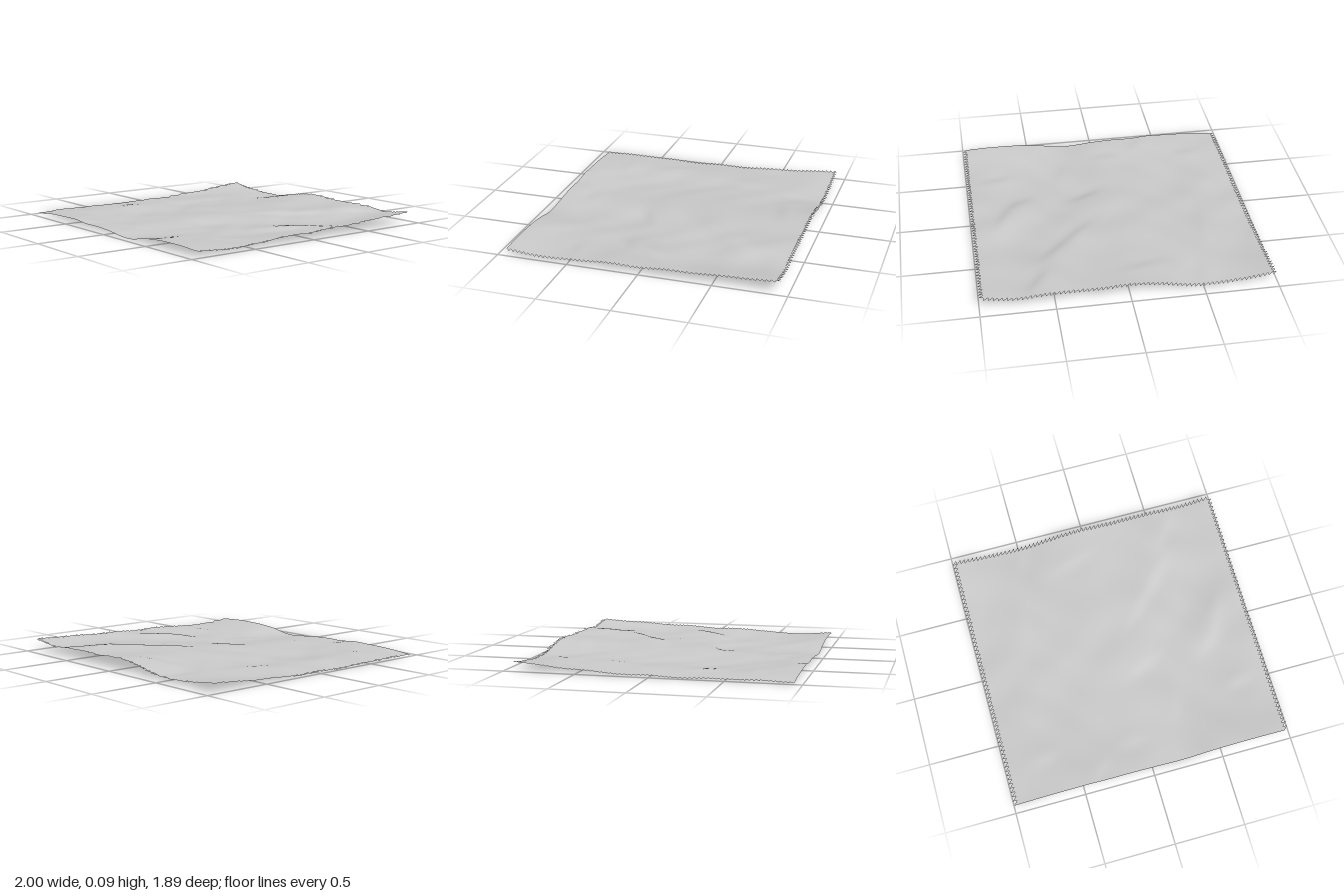
import * as THREE from 'three';

const COLS = 64, ROWS = 61, HALF_X = 1, HALF_Z = 0.945;

// broad relief: rows run back to front, columns left to right
const RELIEF = [
  [0.080, 0.046, 0.033, 0.070, 0.093, 0.085, 0.082, 0.070, 0.095],
  [0.050, 0.040, 0.043, 0.055, 0.072, 0.070, 0.078, 0.060, 0.083],
  [0.030, 0.035, 0.040, 0.050, 0.060, 0.066, 0.050, 0.047, 0.070],
  [0.020, 0.034, 0.026, 0.040, 0.050, 0.045, 0.040, 0.056, 0.060],
  [0.020, 0.030, 0.018, 0.026, 0.038, 0.022, 0.030, 0.035, 0.052],
  [0.025, 0.030, 0.028, 0.020, 0.028, 0.016, 0.030, 0.038, 0.032],
  [0.022, 0.036, 0.045, 0.035, 0.028, 0.012, 0.050, 0.058, 0.046],
];

// small steep banks: x, z, downhill direction in degrees, length, height
const BANKS = [
  [0.30, -0.28, 45, 0.22, 0.016], [0.46, -0.46, 40, 0.12, 0.012],
  [0.76, 0.02, 25, 0.16, 0.018], [0.64, 0.18, 55, 0.10, 0.012],
  [0.15, 0.21, 65, 0.13, 0.016], [0.60, -0.76, 35, 0.13, 0.015],
  [0.78, 0.51, 80, 0.11, 0.014], [-0.12, -0.70, 75, 0.16, 0.012],
  [-0.08, 0.73, 90, 0.10, 0.012], [-0.70, 0.69, 85, 0.10, 0.010],
  [-0.35, 0.88, 40, 0.08, 0.011], [-0.60, -0.30, 10, 0.20, 0.008],
  [-0.50, -0.80, 10, 0.12, 0.010], [-0.78, 0.33, 150, 0.14, 0.008],
  [0.30, 0.55, 20, 0.14, 0.008], [-0.93, -0.45, 20, 0.12, 0.008],
];

function cubic(p, t) {
  const n = p.length - 1;
  const i = Math.min(Math.floor(t * n), n - 1);
  const f = t * n - i;
  const at = (k) => p[THREE.MathUtils.clamp(k, 0, n)];
  const [a, b, c, d] = [at(i - 1), at(i), at(i + 1), at(i + 2)];
  return b + 0.5 * f * (c - a + f * (2 * a - 5 * b + 4 * c - d + f * (3 * (b - c) + d - a)));
}

function heightAt(x, z) {
  const u = (x + HALF_X) / (2 * HALF_X), v = (z + HALF_Z) / (2 * HALF_Z);
  let y = cubic(RELIEF.map((row) => cubic(row, u)), v);
  for (const [bx, bz, angle, length, height] of BANKS) {
    const a = THREE.MathUtils.degToRad(angle);
    const down = (x - bx) * Math.cos(a) + (z - bz) * Math.sin(a);
    const along = (z - bz) * Math.cos(a) - (x - bx) * Math.sin(a);
    y -= 0.5 * height * Math.tanh(down / 0.035) * Math.exp(-((down / 0.13) ** 2) - (along / length) ** 2);
  }
  // gentle ripples
  y += 0.0022 * Math.sin(11 * x + 6 * z + 2 * Math.sin(5 * z));
  y += 0.0016 * Math.sin(17 * z - 9 * x + 2 * Math.sin(7 * x));
  return y;
}

export function createModel() {
  const positions = [], indices = [];
  for (let r = 0; r <= ROWS; r++) {
    for (let c = 0; c <= COLS; c++) {
      const x = -HALF_X + (2 * HALF_X * c) / COLS;
      const z = -HALF_Z + (2 * HALF_Z * r) / ROWS;
      positions.push(x, heightAt(x, z), z);
    }
  }

  // two triangles per cell; leaving one out makes the sawtooth left, right and back rims
  for (let r = 0; r < ROWS; r++) {
    for (let c = 0; c < COLS; c++) {
      const bl = r * (COLS + 1) + c, br = bl + 1;
      const fl = bl + COLS + 1, fr = fl + 1;
      if (c > 0 && r > 0) indices.push(bl, fl, br);
      if (c < COLS - 1) indices.push(fl, fr, br);
    }
  }

  const geometry = new THREE.BufferGeometry();
  geometry.setAttribute('position', new THREE.Float32BufferAttribute(positions, 3));
  geometry.setIndex(indices);
  geometry.computeVertexNormals();
  geometry.computeBoundingBox();
  geometry.translate(0, -geometry.boundingBox.min.y, 0);

  const grey = new THREE.MeshStandardMaterial({ color: 0xcccccc, side: THREE.DoubleSide });
  grey.name = 'light grey';

  const terrain = new THREE.Mesh(geometry, grey);
  terrain.name = 'terrain';
  const group = new THREE.Group();
  group.name = 'terrainPatch';
  group.add(terrain);
  return group;
}
